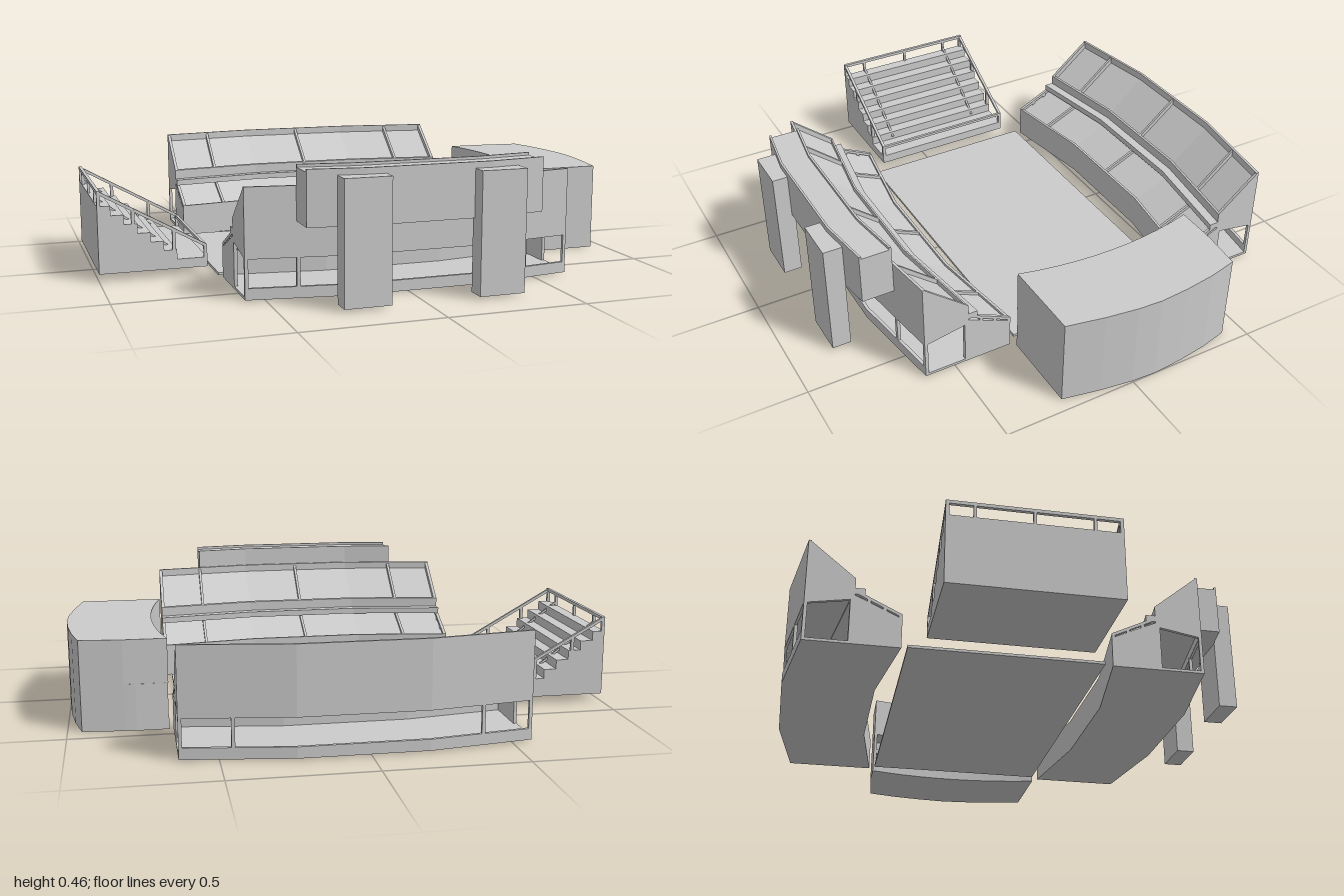
import * as THREE from 'three';

const mat = new THREE.MeshStandardMaterial({ color: 0xcccccc, side: THREE.DoubleSide, flatShading: true });
const MID_Z = -0.09;             // centre line of the pitch
const X0 = -0.57, X1 = 0.632;    // ends of the side stands
const STATIONS = [X0, -0.2, 0.25, X1];

function add(parent, name, geometry) {
  const mesh = new THREE.Mesh(geometry, mat);
  mesh.name = name;
  parent.add(mesh);
  return mesh;
}

function box(parent, name, x0, x1, y0, y1, z0, z1) {
  const mesh = add(parent, name, new THREE.BoxGeometry(x1 - x0, y1 - y0, z1 - z0));
  mesh.position.set((x0 + x1) / 2, (y0 + y1) / 2, (z0 + z1) / 2);
  return mesh;
}

// Outward bow of the side stands along their length
function bow(x) {
  if (x < -0.2) return 0.055 * (x - X0) / (-0.2 - X0);
  if (x > 0.25) return 0.055 * (X1 - x) / (X1 - 0.25);
  return 0.055;
}

// Sweep a section of [distance from inner edge, height] through x stations
function sweep(parent, name, side, section, xs = STATIONS) {
  const shape = new THREE.Shape(section.map(([d, y]) => new THREE.Vector2(-(MID_Z + side * (0.37 + d)), y)));
  const n = xs.length - 1;
  const geo = new THREE.ExtrudeGeometry(shape, { depth: n, steps: n, bevelEnabled: false });
  geo.rotateY(Math.PI / 2);
  const p = geo.attributes.position;
  for (let i = 0; i < p.count; i++) {
    const x = xs[Math.round(p.getX(i))];
    p.setX(i, x);
    p.setZ(i, p.getZ(i) + side * bow(x));
  }
  geo.computeVertexNormals();
  return add(parent, name, geo);
}

const rect = (d0, d1, y0, y1) => [[d0, y0], [d1, y0], [d1, y1], [d0, y1]];

function sideStand(side, name) {
  const g = new THREE.Group();
  g.name = name;
  // Ground slab, hollow lower tier and walkway ledge
  sweep(g, 'standFloor', side, rect(0, 0.335, 0.005, 0.015));
  sweep(g, 'pitchWall', side, rect(0, 0.01, 0.01, 0.13));
  sweep(g, 'lowerSeating', side, [[0, 0.1], [0.18, 0.17], [0.18, 0.19], [0.165, 0.19], [0, 0.115]]);
  sweep(g, 'walkwayLedge', side, rect(0.13, 0.168, 0.195, 0.218));
  // Upper tier with front parapet, recessed seating and back wall
  sweep(g, 'upperSeating', side, [[0.165, 0.175], [0.165, 0.255], [0.173, 0.258], [0.173, 0.238],
    [0.325, 0.362], [0.325, 0.39], [0.335, 0.39], [0.335, 0.145], [0.325, 0.145], [0.325, 0.175]]);
  // Open concourse behind: kerb and posts
  sweep(g, 'concourseKerb', side, rect(0.323, 0.335, 0.01, 0.045));
  for (const x of [X0 + 0.006, -0.39, 0.455, X1 - 0.006])
    sweep(g, 'concoursePost', side, rect(0.323, 0.335, 0.04, 0.15), [x - 0.006, x + 0.006]);
  // End walls
  for (const x of [X0 + 0.006, X1 - 0.006]) {
    const xs = [x - 0.006, x + 0.006];
    sweep(g, 'lowerEndWall', side, [[0, 0.01], [0.18, 0.01], [0.18, 0.185], [0, 0.115]], xs);
    sweep(g, 'upperEndWall', side, [[0.165, 0.175], [0.165, 0.255], [0.33, 0.39], [0.335, 0.39], [0.335, 0.145]], xs);
    sweep(g, 'lowerEndRail', side, [[0, 0.12], [0.165, 0.2], [0.165, 0.212], [0, 0.132]], xs);
    for (const d of [0.0, 0.055, 0.11])
      sweep(g, 'railPost', side, rect(d, d + 0.012, 0.105 + d * 0.45, 0.126 + d * 0.48), xs);
  }
  // Aisle dividers
  for (const x of [-0.39, 0.03, 0.455]) {
    const xs = [x - 0.005, x + 0.005];
    sweep(g, 'lowerDivider', side, [[0, 0.105], [0.165, 0.18], [0.165, 0.203], [0, 0.128]], xs);
    sweep(g, 'upperDivider', side, [[0.17, 0.23], [0.33, 0.36], [0.33, 0.388], [0.17, 0.255]], xs);
  }
  return g;
}

// Extrude a plan outline of [x, z] points upward
function slab(parent, name, outline, y0, y1) {
  const shape = new THREE.Shape(outline.map(([x, z]) => new THREE.Vector2(x, -z)));
  const geo = new THREE.ExtrudeGeometry(shape, { depth: y1 - y0, bevelEnabled: false });
  geo.rotateX(-Math.PI / 2);
  geo.translate(0, y0, 0);
  return add(parent, name, geo);
}

function curvedEndStand() {
  const g = new THREE.Group();
  g.name = 'curvedEndStand';
  const N = 10, Z0 = -0.443, Z1 = 0.26;
  // Concave inner edge, shifted outward by an offset
  const arc = (offset) => Array.from({ length: N + 1 }, (_, i) => {
    const t = i / N;
    return [0.645 + offset + 0.045 * (1 - (2 * t - 1) ** 2), Z0 + (Z1 - Z0) * t];
  });
  const outer = [[0.95, Z1], [0.978, 0.12], [0.995, 0], [1, -0.09], [0.992, -0.2], [0.975, -0.32], [0.95, -0.425], [0.8, -0.44]];
  const strip = (a, b) => [...arc(a), ...arc(b).reverse()];
  slab(g, 'upperBlock', [...arc(0), ...outer], 0.17, 0.33);
  slab(g, 'lowerBlock', [...arc(0.1), ...outer], 0, 0.17);
  slab(g, 'lowerLedge', strip(0, 0.1), 0, 0.04);
  slab(g, 'seatStep', strip(0.05, 0.1), 0.04, 0.08);
  slab(g, 'middleLedge', strip(0.005, 0.1), 0.085, 0.102);
  for (const z of [Z0, Z1 - 0.012]) box(g, 'endWall', 0.647, 0.76, 0, 0.17, z, z + 0.012);
  return g;
}

function steppedTerrace() {
  const g = new THREE.Group();
  g.name = 'steppedTerrace';
  const zA = -0.38, zB = 0.205, steps = 6, run = 0.28 / steps, rise = 0.035;
  // Stepped solid with a low landing
  const pts = [[-1, 0.03], [-1, 0.275]];
  for (let i = 1; i <= steps; i++) {
    const x = -1 + i * run, y = 0.275 - i * rise;
    pts.push([x, y + rise], [x, y]);
  }
  pts.push([-0.61, 0.065], [-0.61, 0.03]);
  const shape = new THREE.Shape(pts.map(([x, y]) => new THREE.Vector2(x, y)));
  const geo = new THREE.ExtrudeGeometry(shape, { depth: zB - zA, bevelEnabled: false });
  geo.translate(0, 0, zA);
  add(g, 'steps', geo);
  // Sloping bar between two [x, y] ends
  const slope = (name, a, b, z, t) => {
    const dx = b[0] - a[0], dy = b[1] - a[1];
    const bar = add(g, name, new THREE.BoxGeometry(Math.hypot(dx, dy), t, t));
    bar.position.set((a[0] + b[0]) / 2, (a[1] + b[1]) / 2, z);
    bar.rotation.z = Math.atan2(dy, dx);
  };
  const railY = (x) => 0.325 - (x + 1) * 0.56;
  for (const z of [zA + 0.006, zB - 0.006]) {
    slope('handrail', [-0.997, 0.325], [-0.613, 0.108], z, 0.011);
    for (const x of [-0.994, -0.875, -0.73, -0.616]) {
      const foot = x < -0.72 ? 0.24 - (x + 1) * 0.75 : 0.06;
      box(g, 'railPost', x - 0.006, x + 0.006, foot, railY(x), z - 0.006, z + 0.006);
    }
  }
  // Aisle rails and cross rails
  for (const z of [-0.285, 0.11]) slope('aisleRail', [-0.995, 0.29], [-0.715, 0.08], z, 0.008);
  box(g, 'topRail', -1, -0.988, 0.318, 0.33, zA, zB);
  box(g, 'bottomRail', -0.621, -0.61, 0.1, 0.111, zA, zB);
  for (const z of [-0.285, -0.09, 0.11]) box(g, 'topRailPost', -1, -0.99, 0.27, 0.32, z - 0.005, z + 0.005);
  return g;
}

function createModel() {
  const root = new THREE.Group();
  root.name = 'stadium';
  box(root, 'pitch', -0.58, 0.605, 0.004, 0.014, -0.44, 0.25);
  const front = sideStand(1, 'frontStand');
  root.add(front, sideStand(-1, 'rearStand'), curvedEndStand(), steppedTerrace());

  // Gallery and stair towers behind the front stand
  const xs = [-0.397, -0.2, 0.25, 0.455];
  sweep(front, 'gallery', 1, rect(0.335, 0.453, 0.27, 0.452), xs);
  for (const d of [0.335, 0.445]) sweep(front, 'galleryRim', 1, rect(d, d + 0.008, 0.45, 0.462), xs);
  for (const x of [-0.297, 0.185]) box(front, 'stairTower', x, x + 0.165, 0.01, 0.44, 0.775, 0.845);
  return root;
}

export { createModel };
